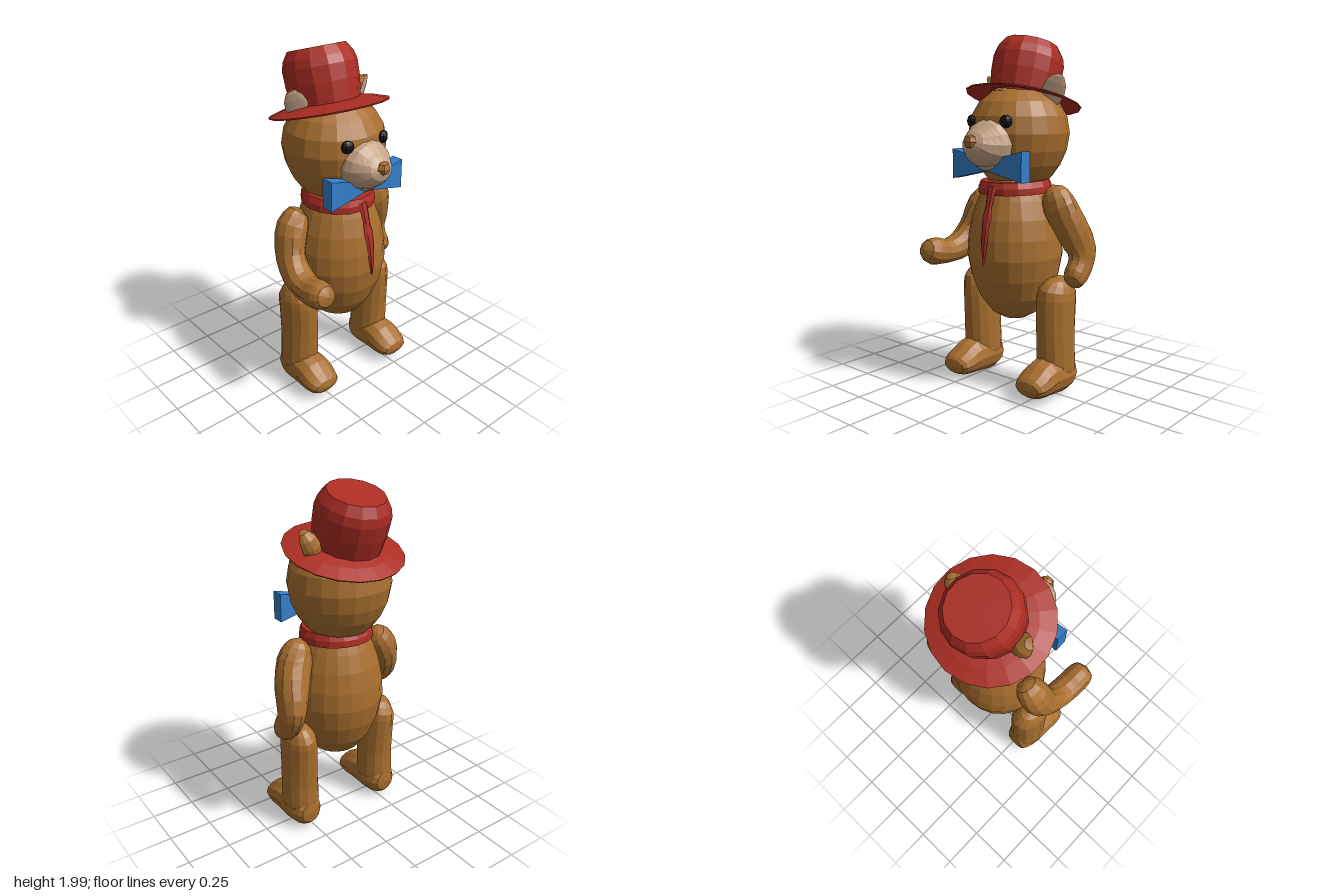
import * as THREE from 'three';

const mat = (name, color) => {
  const m = new THREE.MeshStandardMaterial({ color, flatShading: true });
  m.name = name;
  return m;
};

// Smooth loft through sections [x, y, z, radius across x, radius the other way]
function loft(sections, steps, sides) {
  const path = new THREE.CatmullRomCurve3(sections.map(s => new THREE.Vector3(s[0], s[1], s[2])));
  const radii = new THREE.CatmullRomCurve3(sections.map(s => new THREE.Vector3(s[3], s[4], 0)));
  const pos = [], index = [];
  for (let i = 0; i <= steps; i++) {
    const c = path.getPoint(i / steps), r = radii.getPoint(i / steps);
    const t = path.getTangent(i / steps);
    const u = new THREE.Vector3(1, 0, 0).addScaledVector(t, -t.x).normalize();
    const v = t.clone().cross(u);
    for (let j = 0; j < sides; j++) {
      const a = (j / sides) * Math.PI * 2;
      const p = c.clone()
        .addScaledVector(u, Math.max(r.x, 0) * Math.cos(a))
        .addScaledVector(v, Math.max(r.y, 0) * Math.sin(a));
      pos.push(p.x, p.y, p.z);
      if (i < steps) {
        const k = (j + 1) % sides, n = i * sides;
        index.push(n + j, n + k, n + sides + k, n + j, n + sides + k, n + sides + j);
      }
    }
  }
  const g = new THREE.BufferGeometry();
  g.setAttribute('position', new THREE.Float32BufferAttribute(pos, 3));
  g.setIndex(index);
  g.computeVertexNormals();
  return g;
}

const lathe = (pts, sides) => new THREE.LatheGeometry(pts.map(p => new THREE.Vector2(p[0], p[1])), sides);

export function createModel() {
  const fur = mat('brown fur', 0xa86e2e);
  const red = mat('red felt', 0xac2d23);
  const blue = mat('blue bow', 0x3480cb);
  const cream = mat('cream muzzle', 0xc4a284);
  const black = mat('black eyes', 0x121212);
  const model = new THREE.Group();
  const add = (name, geo, material, parent = model) => {
    const m = new THREE.Mesh(geo, material);
    m.name = name;
    parent.add(m);
    return m;
  };
  const ball = (name, material, p, s, w = 16, h = 12) => {
    const m = add(name, new THREE.SphereGeometry(1, w, h), material);
    m.position.set(...p);
    m.scale.set(...s);
    return m;
  };

  // Torso and head
  add('body', lathe([[0, 0.39], [0.07, 0.402], [0.135, 0.44], [0.205, 0.535], [0.25, 0.65], [0.273, 0.77],
    [0.267, 0.88], [0.245, 0.99], [0.21, 1.09], [0.18, 1.16], [0.15, 1.2]], 22), fur);
  const head = add('head', lathe([[0.15, 1.175], [0.192, 1.215], [0.238, 1.28], [0.273, 1.36], [0.29, 1.455],
    [0.274, 1.55], [0.226, 1.63], [0.15, 1.69], [0, 1.725]], 20), fur);
  head.position.z = -0.033;
  head.scale.z = 0.978;

  // Muzzle, chin and nose
  add('muzzle', loft([[0, 1.4, 0.13, 0.14, 0.125], [0, 1.4, 0.225, 0.15, 0.135], [0, 1.4, 0.29, 0.12, 0.11],
    [0, 1.41, 0.345, 0.075, 0.062], [0, 1.42, 0.375, 0, 0]], 8, 14), cream);
  ball('chin', cream, [0, 1.3, 0.24], [0.07, 0.042, 0.045], 10, 6);
  ball('nose', fur, [0, 1.418, 0.36], [0.042, 0.038, 0.032], 6, 4);

  for (const s of [-1, 1]) {
    const eye = ball('eye', black, [s * 0.125, 1.523, 0.222], [0.035, 0.035, 0.022], 10, 8);
    eye.rotation.y = s * 0.4;

    // Ears with a cream front and a furry back
    const ear = new THREE.Group();
    ear.name = 'ear';
    ear.position.set(s * 0.222, 1.685, -0.06);
    ear.rotation.set(0, s * 0.65, -s * 0.42, 'ZYX');
    add('earInner', new THREE.SphereGeometry(1, 8, 6, 0, Math.PI), cream, ear).scale.set(0.064, 0.1, 0.012);
    add('earBack', new THREE.SphereGeometry(1, 8, 6, Math.PI, Math.PI), fur, ear).scale.set(0.064, 0.1, 0.075);
    model.add(ear);

    // Legs and feet
    const x = s * 0.278;
    add('leg', loft([[s * 0.295, 0.678, -0.035, 0, 0], [s * 0.292, 0.65, -0.035, 0.06, 0.08],
      [s * 0.282, 0.57, -0.028, 0.097, 0.132], [x, 0.42, -0.025, 0.1, 0.125], [x, 0.28, -0.025, 0.103, 0.118],
      [x, 0.16, -0.03, 0.106, 0.118], [x, 0.1, -0.03, 0.09, 0.1]], 14, 14), fur);
    add('foot', loft([[x, 0.11, -0.152, 0, 0], [x, 0.11, -0.14, 0.07, 0.075], [x, 0.112, -0.05, 0.103, 0.11],
      [x, 0.118, 0.08, 0.108, 0.105], [x, 0.1, 0.16, 0.108, 0.08], [x, 0.088, 0.225, 0.088, 0.052],
      [x, 0.085, 0.245, 0, 0]], 14, 12), fur);
  }

  // Hanging arm and bent arm
  add('leftArm', loft([[0.25, 1.18, -0.02, 0, 0], [0.262, 1.15, -0.022, 0.064, 0.064],
    [0.295, 1.06, -0.03, 0.1, 0.09], [0.343, 0.94, -0.075, 0.096, 0.097], [0.378, 0.82, -0.122, 0.075, 0.097],
    [0.386, 0.745, -0.105, 0.064, 0.085], [0.385, 0.685, -0.06, 0.064, 0.075], [0.383, 0.652, -0.025, 0.05, 0.05],
    [0.383, 0.645, -0.015, 0, 0]], 20, 12), fur);
  add('rightArm', loft([[-0.225, 1.115, -0.05, 0, 0], [-0.245, 1.095, -0.05, 0.065, 0.065],
    [-0.3, 1.01, -0.04, 0.09, 0.095], [-0.338, 0.88, -0.005, 0.078, 0.095], [-0.355, 0.795, 0.075, 0.082, 0.085],
    [-0.365, 0.765, 0.18, 0.082, 0.07], [-0.37, 0.775, 0.28, 0.082, 0.08], [-0.37, 0.79, 0.34, 0.064, 0.062],
    [-0.37, 0.795, 0.362, 0, 0]], 18, 12), fur);

  // Collar and hanging ribbon
  const collar = add('collar', lathe([[0.18, -0.04], [0.21, -0.036], [0.208, 0], [0.193, 0.033], [0.14, 0.033]], 16), red);
  collar.position.y = 1.165;
  collar.rotation.x = 0.04;
  add('ribbon', loft([[0.006, 1.17, 0.2, 0.03, 0.012], [0.008, 1.08, 0.225, 0.027, 0.012],
    [0.01, 0.95, 0.26, 0.027, 0.012], [0.011, 0.85, 0.274, 0.021, 0.012], [0.012, 0.75, 0.278, 0, 0.008]], 10, 6), red);

  // Bow tie
  const bow = new THREE.Shape([[-0.25, 1.205], [-0.03, 1.252], [0.03, 1.252], [0.25, 1.205], [0.25, 1.37],
    [0.03, 1.315], [-0.03, 1.315], [-0.25, 1.37]].map(p => new THREE.Vector2(...p)));
  add('bowTie', new THREE.ExtrudeGeometry(bow, { depth: 0.072, bevelEnabled: false }), blue).position.z = 0.173;

  // Tilted top hat with a slightly domed brim
  const hat = new THREE.Group();
  hat.name = 'hat';
  hat.position.set(-0.012, 1.65, -0.075);
  hat.rotation.x = -0.28;
  const brim = add('brim', lathe([[0.17, 0.016], [0.25, 0.004], [0.33, -0.018], [0.335, -0.01], [0.25, 0.016],
    [0.17, 0.03]], 18), red, hat);
  brim.position.x = 0.012;
  brim.rotation.x = 0.02;
  brim.scale.z = 0.975;
  add('crown', lathe([[0.182, 0], [0.198, 0.13], [0.2, 0.215], [0.188, 0.262], [0.155, 0.312], [0, 0.312]], 14),
    red, hat).scale.z = 1.04;
  model.add(hat);

  return model;
}
